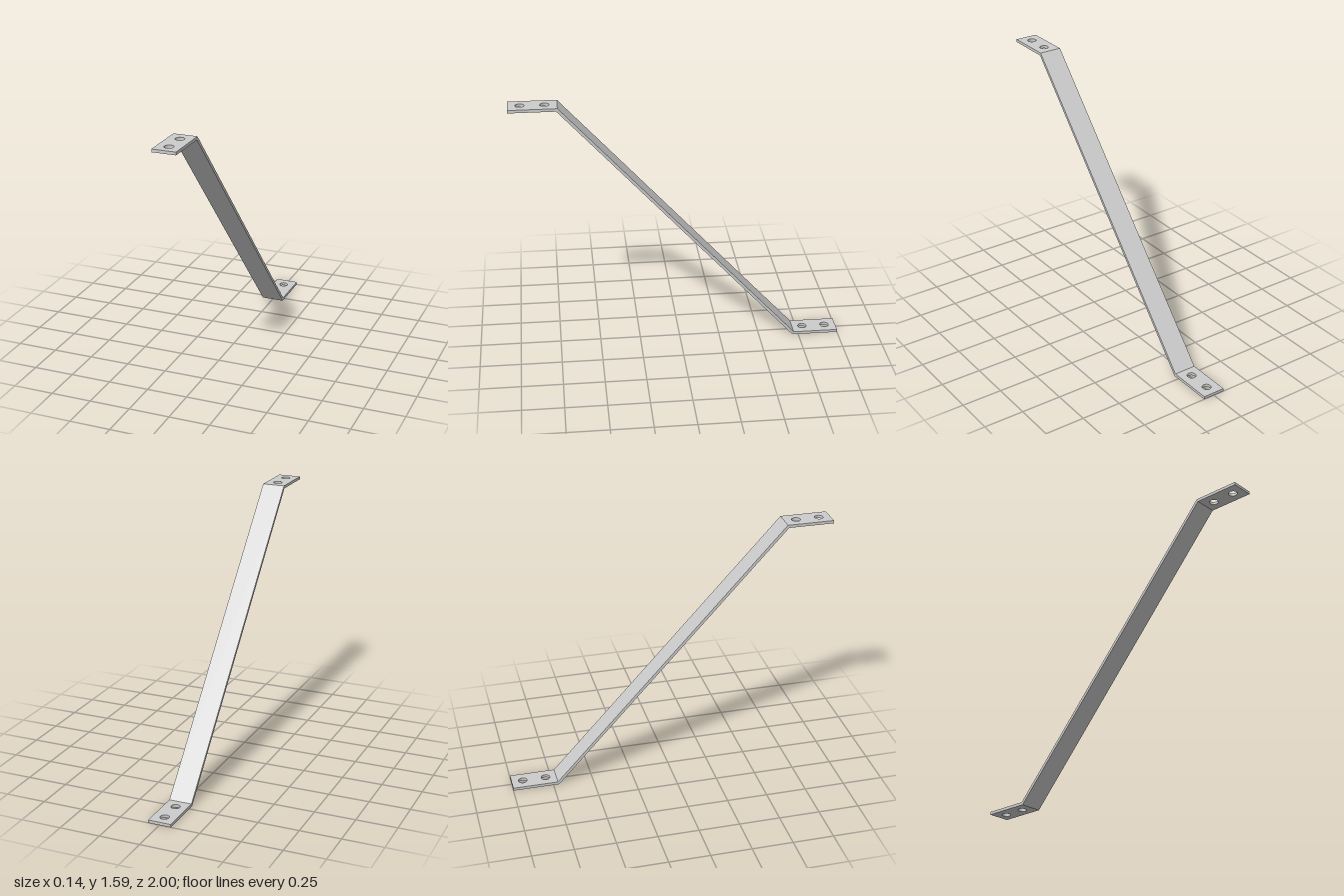
import * as THREE from 'three';

const W = 0.142, H = 1.594, T = 0.018; // strap width, overall height, thickness
const BEND = 0.713, MITRE = 0.008;     // bend position and mitre offset across the thickness

// Flat end plate with two bolt holes, its inner edge mitred to meet the strut
function plateGeometry() {
  const shape = new THREE.Shape();
  shape.moveTo(-W / 2, BEND);
  shape.lineTo(W / 2, BEND);
  shape.lineTo(W / 2, 1);
  shape.lineTo(-W / 2, 1);
  shape.closePath();
  for (const d of [0.787, 0.93]) {
    const hole = new THREE.Path();
    hole.absarc(0, d, 0.027, 0, Math.PI * 2, true);
    shape.holes.push(hole);
  }
  const geo = new THREE.ExtrudeGeometry(shape, { depth: T, bevelEnabled: false, curveSegments: 16 });
  geo.rotateX(-Math.PI / 2);
  const p = geo.attributes.position;
  for (let i = 0; i < p.count; i++) {
    if (p.getZ(i) > -BEND - 0.001 && p.getY(i) > T / 2) p.setZ(i, -BEND - MITRE);
  }
  geo.computeVertexNormals();
  return geo;
}

// Sloping strut from its side profile
function strutGeometry() {
  const shape = new THREE.Shape([
    [BEND, 0], [BEND + MITRE, T], [-BEND, H], [-BEND - MITRE, H - T],
  ].map(([x, y]) => new THREE.Vector2(x, y)));
  const geo = new THREE.ExtrudeGeometry(shape, { depth: W, bevelEnabled: false });
  geo.translate(0, 0, -W / 2);
  geo.rotateY(Math.PI / 2);
  return geo;
}

export function createModel() {
  const group = new THREE.Group();
  group.name = 'offsetBracket';
  const material = new THREE.MeshStandardMaterial({ color: 0xcccccc });
  const add = (name, geo) => {
    const mesh = new THREE.Mesh(geo, material);
    mesh.name = name;
    group.add(mesh);
    return mesh;
  };

  const plate = plateGeometry();
  add('lowerPlate', plate);
  // The upper plate is the lower one turned half round
  const upper = add('upperPlate', plate);
  upper.rotation.x = Math.PI;
  upper.position.y = H;
  add('strut', strutGeometry());
  return group;
}
